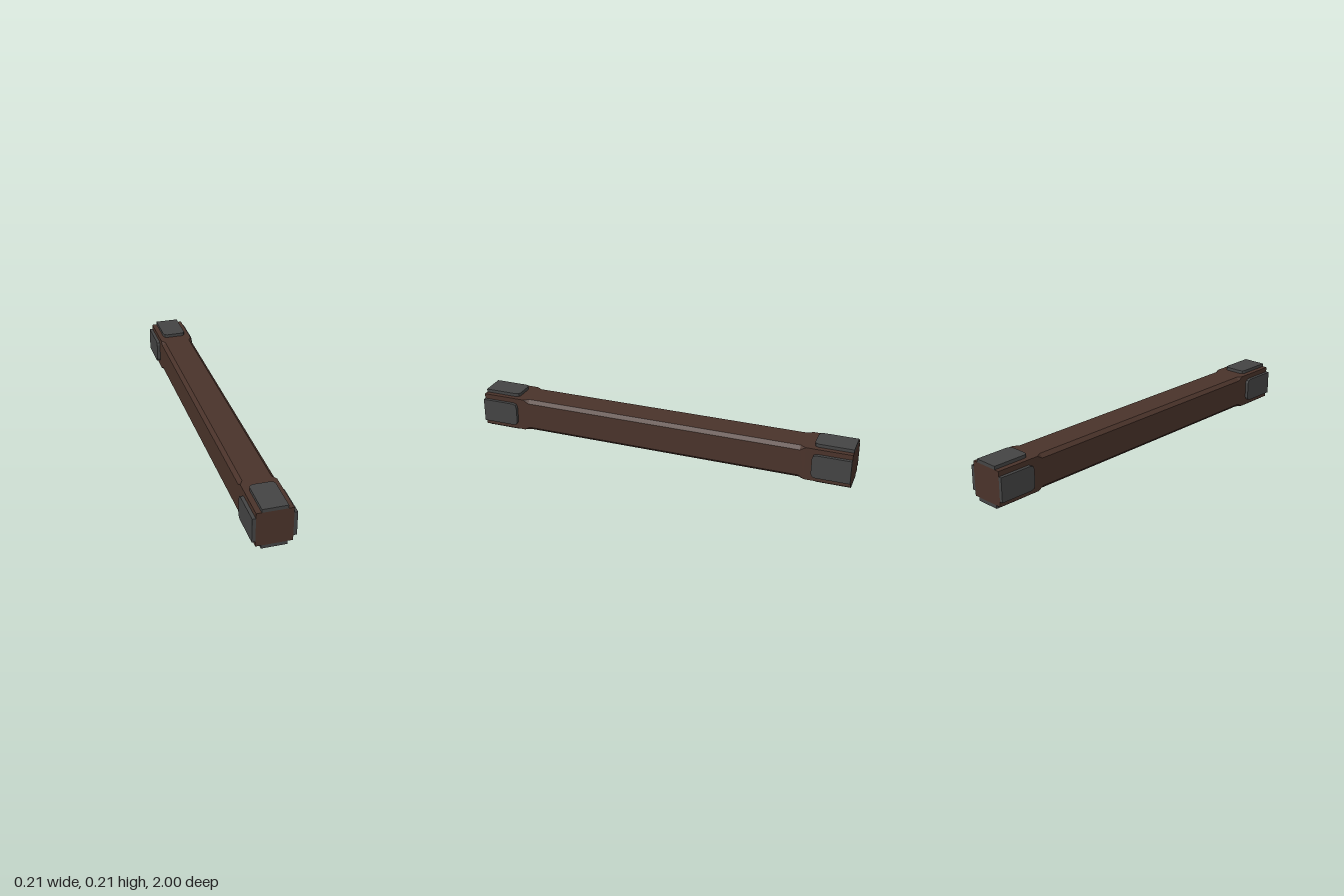
import * as THREE from 'three';

const HALF = 0.088;      // half the beam's width
const CENTRE_Y = 0.105;  // height of the beam's axis
const PLATE = 0.017;     // plate thickness

// Square ring with corners cut by c, counter-clockwise seen from +z
function ring(z, c) {
  const h = HALF, k = HALF - c;
  return [[h, -k], [h, k], [k, h], [-k, h], [-h, k], [-h, -k], [-k, -h], [k, -h]]
    .map(([x, y]) => new THREE.Vector3(x, y, z));
}

// Beam: square ends, chamfered long edges between them
function beamGeometry() {
  const rings = [[-1, 0], [-0.77, 0], [-0.74, 0.018], [0.74, 0.018], [0.77, 0], [1, 0]]
    .map(([z, c]) => ring(z, c));
  const pos = [];
  const tri = (a, b, c) => {
    const area = b.clone().sub(a).cross(c.clone().sub(a)).length();
    if (area > 1e-9) pos.push(...a.toArray(), ...b.toArray(), ...c.toArray());
  };
  for (let r = 0; r < rings.length - 1; r++) {
    const A = rings[r], B = rings[r + 1];
    for (let i = 0; i < 8; i++) {
      const j = (i + 1) % 8;
      tri(A[i], A[j], B[j]);
      tri(A[i], B[j], B[i]);
    }
  }
  const back = rings[0], front = rings[rings.length - 1];
  for (let i = 1; i < 7; i++) {
    tri(front[0], front[i], front[i + 1]);
    tri(back[0], back[i + 1], back[i]);
  }
  const g = new THREE.BufferGeometry();
  g.setAttribute('position', new THREE.Float32BufferAttribute(pos, 3));
  g.computeVertexNormals();
  return g;
}

// Plate on the top face at the +z end, with its two inner corners cut
function plateGeometry() {
  const w = 0.062, c = 0.02, inner = -0.805, outer = -1;
  const shape = new THREE.Shape([
    [-w, outer], [w, outer], [w, inner - c], [w - c * 0.3, inner - c * 0.3], [w - c, inner],
    [-w + c, inner], [-w + c * 0.3, inner - c * 0.3], [-w, inner - c],
  ].map(([x, y]) => new THREE.Vector2(x, y)));
  const g = new THREE.ExtrudeGeometry(shape, { depth: PLATE, bevelEnabled: false });
  g.rotateX(-Math.PI / 2);
  g.translate(0, HALF, 0);
  return g;
}

export function createModel() {
  const wood = new THREE.MeshStandardMaterial({ color: 0x4a332a });
  wood.name = 'dark wood';
  const metal = new THREE.MeshStandardMaterial({ color: 0x444444 });
  metal.name = 'dark metal';

  const model = new THREE.Group();
  model.name = 'woodenBeam';

  const beam = new THREE.Mesh(beamGeometry(), wood);
  beam.name = 'beam';
  beam.position.y = CENTRE_Y;
  model.add(beam);

  // Four plates around each end
  const geometry = plateGeometry();
  for (const end of ['front', 'back']) {
    const cap = new THREE.Group();
    cap.name = end + 'Plates';
    cap.position.y = CENTRE_Y;
    if (end === 'back') cap.rotation.y = Math.PI;
    for (let i = 0; i < 4; i++) {
      const plate = new THREE.Mesh(geometry, metal);
      plate.name = 'endPlate';
      plate.rotation.z = i * Math.PI / 2;
      cap.add(plate);
    }
    model.add(cap);
  }
  return model;
}
